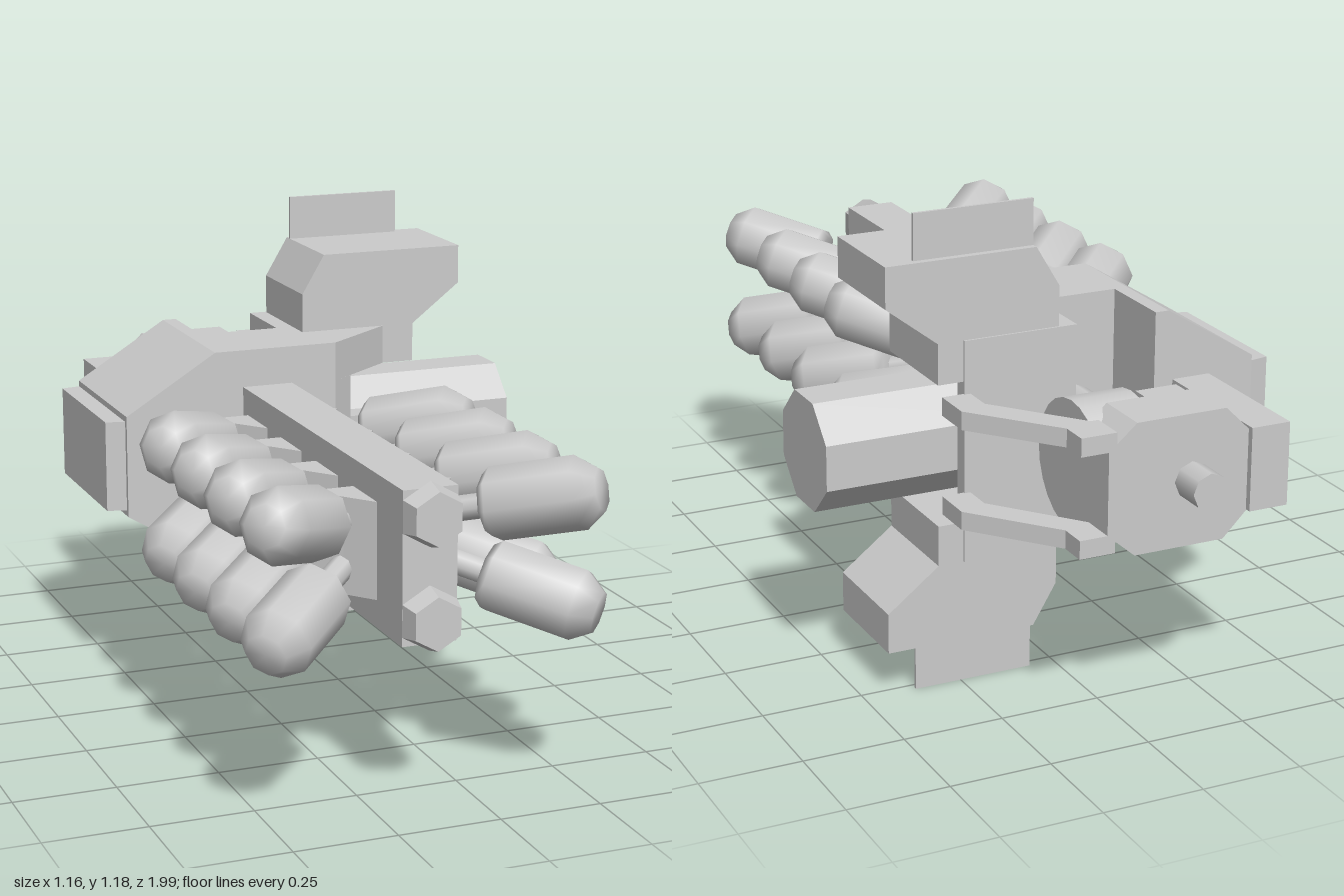
import * as THREE from 'three';

const MID = 0.59;    // height of the horizontal symmetry plane
const SPINE = -0.145; // x of the missile spine

export function createModel() {
  const root = new THREE.Group();
  const flat = new THREE.MeshStandardMaterial({ color: 0xcccccc, flatShading: true });
  const smooth = new THREE.MeshStandardMaterial({ color: 0xcccccc });

  const add = (name, geo, mat = flat) => {
    const m = new THREE.Mesh(geo, mat);
    m.name = name;
    root.add(m);
    return m;
  };
  const box = (name, x0, x1, y0, y1, z0, z1) =>
    add(name, new THREE.BoxGeometry(x1 - x0, y1 - y0, z1 - z0)
      .translate((x0 + x1) / 2, (y0 + y1) / 2, (z0 + z1) / 2));
  const extrude = (pts, depth) => new THREE.ExtrudeGeometry(
    new THREE.Shape(pts.map(p => new THREE.Vector2(...p))), { depth, bevelEnabled: false });
  // outline in x,y pushed along z
  const slabZ = (name, pts, z0, z1) => add(name, extrude(pts, z1 - z0).translate(0, 0, z0));
  // outline in x,z pushed along y
  const slabY = (name, pts, y0, y1) =>
    add(name, extrude(pts, y1 - y0).rotateX(Math.PI / 2).translate(0, y1, 0));
  const flip = pts => pts.map(([x, y]) => [x, 2 * MID - y]);

  // Hull: chamfered side, bridge in front of the rear notch, and the block with the engine pocket
  slabZ('hullSide', [[-0.25, 0.315], [-0.25, 0.865], [-0.285, 0.865], [-0.52, 0.72],
    [-0.52, 0.46], [-0.285, 0.315]], -0.545, -0.12);
  box('hullBridge', -0.25, -0.04, 0.315, 0.865, -0.34, -0.12);
  const deck = [[-0.04, -0.545], [0.25, -0.545], [0.25, -0.28], [0.04, -0.12], [-0.04, -0.12]];
  slabY('hullUpperDeck', deck, 0.765, 0.865);
  slabY('hullLowerDeck', deck, 0.315, 0.415);
  slabY('hullCore', [[-0.04, -0.545], [0.1, -0.545], [0.1, -0.165], [0.04, -0.12], [-0.04, -0.12]],
    0.415, 0.765);
  box('pocketBackWall', 0.1, 0.25, 0.415, 0.765, -0.545, -0.505);
  box('pocketBracket', 0.1, 0.345, 0.525, 0.655, -0.235, -0.165);

  // Tapered pod on the hull's side
  const pod = extrude([[-0.145, 0.475], [-0.145, 0.705], [-0.535, 0.705], [-0.535, 0.475]], 0.06)
    .rotateY(-Math.PI / 2);
  const pp = pod.attributes.position;
  for (let i = 0; i < pp.count; i++) {
    const outer = pp.getX(i) < -0.03;
    pp.setX(i, outer ? -0.568 : -0.51);
    if (!outer) pp.setZ(i, pp.getZ(i) > -0.3 ? -0.13 : -0.545);
  }
  add('sidePod', pod);

  // Wings and their thin tip fins
  const wing = [[0.005, 0.765], [0.315, 0.765], [0.315, 0.865], [0.445, 0.965],
    [0.445, 1.065], [0.065, 1.065], [0.005, 0.965]];
  slabZ('upperWing', wing, -0.54, -0.265);
  slabZ('lowerWing', flip(wing), -0.54, -0.265);
  box('upperFin', 0.065, 0.368, 1.06, 1.177, -0.523, -0.515);
  box('lowerFin', 0.065, 0.368, 0, 0.12, -0.523, -0.515);

  // Side engine: eight-sided barrel
  const engine = new THREE.CylinderGeometry(0.145, 0.145, 0.5, 8)
    .rotateY(Math.PI / 8).rotateZ(Math.PI / 2).translate(0.33, MID, -0.37);
  add('sideEngine', engine);

  // Spine with tapered hexagonal caps
  box('spine', SPINE - 0.066, SPINE + 0.066, 0.41, 0.77, -0.12, 0.92);
  for (const y of [0.71, 0.47])
    add('spineCap', new THREE.CylinderGeometry(0.063, 0.076, 0.05, 6)
      .rotateX(Math.PI / 2).translate(SPINE, y, 0.945));
  box('probeMount', SPINE - 0.012, SPINE + 0.012, 0.385, 0.42, -0.11, 0.03);
  add('probe', new THREE.CylinderGeometry(0.016, 0.016, 0.09, 8)
    .rotateX(Math.PI / 2).translate(SPINE, 0.387, 0.045), smooth);

  // Missile: rod, faceted body, blunt nose
  const prof = (pts) => new THREE.LatheGeometry(pts.map(p => new THREE.Vector2(...p)), 8);
  const bodyGeo = prof([[0, 0], [0.07, 0], [0.087, 0.02], [0.087, 0.225], [0.05, 0.275], [0, 0.275]]);
  const rodGeo = new THREE.CylinderGeometry(0.03, 0.03, 0.15, 8).translate(0, -0.065, 0);
  const up = new THREE.Vector3(0, 1, 0);
  const bracket = [[0.05, -0.085], [0.15, -0.085], [0.17, -0.068], [0.12, -0.01], [0.065, 0.06], [0.05, 0.06]];
  for (let i = 0; i < 4; i++) {
    const z = i * 0.238;
    for (const sx of [1, -1]) {
      slabY('missileBracket', bracket.map(([x, s]) => [SPINE + sx * x, s + z]), 0.475, 0.705);
      for (const sy of [1, -1]) {
        const missile = new THREE.Group();
        missile.name = 'missile';
        const body = new THREE.Mesh(bodyGeo, smooth), rod = new THREE.Mesh(rodGeo, smooth);
        body.name = 'missileBody';
        rod.name = 'missileRod';
        missile.add(body, rod);
        missile.position.set(SPINE + sx * 0.205, MID + sy * 0.081, z + 0.06);
        missile.quaternion.setFromUnitVectors(up,
          new THREE.Vector3(sx * 0.71, sy * 0.23, 0.665).normalize());
        root.add(missile);
      }
    }
  }

  // Rear assembly: block, fork, side bar, drum and shaft
  slabZ('rearBlock', [[-0.29, 0.49], [-0.23, 0.43], [0.0, 0.43], [0.07, 0.49], [0.07, 0.69],
    [0.0, 0.75], [-0.23, 0.75], [-0.29, 0.69]], -0.915, -0.77);
  box('rearFork', -0.29, -0.18, 0.485, 0.69, -0.77, -0.58);
  box('rearSideBar', -0.4, -0.3, 0.485, 0.69, -0.915, -0.54);
  add('rearDrum', new THREE.CylinderGeometry(0.16, 0.16, 0.155, 24)
    .rotateZ(Math.PI / 2).translate(-0.013, MID, -0.72), smooth);
  add('rearShaft', new THREE.CylinderGeometry(0.045, 0.045, 0.66, 8)
    .rotateX(Math.PI / 2).translate(SPINE, MID, -0.67), smooth);

  // Bent struts joining the rear block to the hull
  const strut = [[0.05, -0.915], [0.14, -0.915], [0.14, -0.845], [0.305, -0.645], [0.305, -0.54],
    [0.235, -0.54], [0.235, -0.62], [0.07, -0.825], [0.05, -0.825]];
  slabY('upperStrut', strut, 0.69, 0.735);
  slabY('lowerStrut', strut, 0.445, 0.49);
  return root;
}
